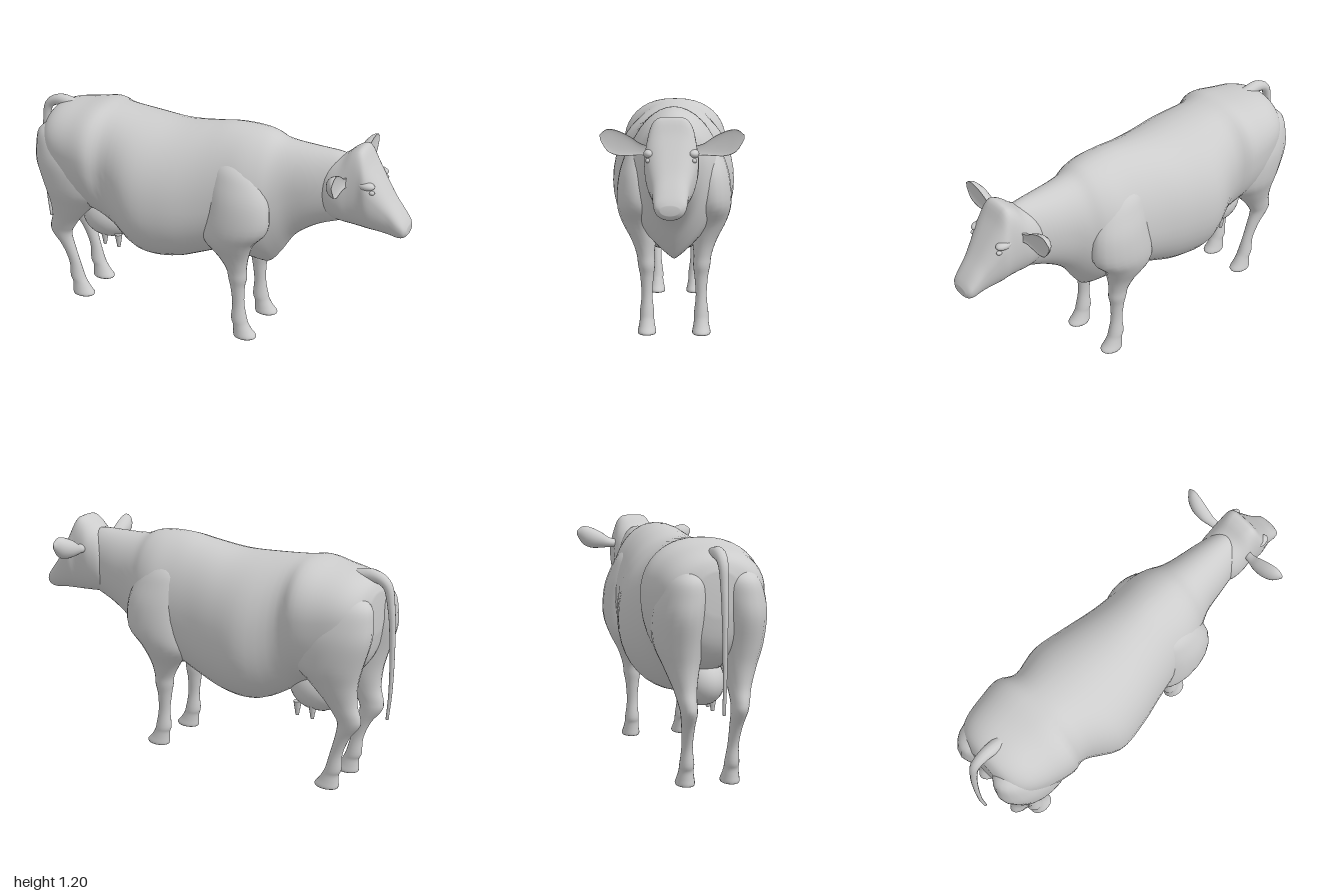
import * as THREE from 'three';

// Catmull-Rom interpolation of rows of section parameters
function refine(rows, steps = 4) {
  const out = [];
  const at = i => rows[Math.min(Math.max(i, 0), rows.length - 1)];
  for (let i = 0; i < rows.length - 1; i++) {
    for (let k = 0; k < steps; k++) {
      const t = k / steps;
      out.push(rows[i].map((b, j) => {
        const a = at(i - 1)[j], c = at(i + 1)[j], d = at(i + 2)[j];
        return b + 0.5 * t * (c - a + t * (2 * a - 5 * b + 4 * c - d + t * (3 * (b - c) + d - a)));
      }));
    }
  }
  out.push(rows[rows.length - 1]);
  return out;
}

// Closed skin over rings of points, always wound outward
function loft(rings) {
  const n = rings[0].length, pts = rings.flat(), idx = [];
  for (let i = 0; i < rings.length - 1; i++) {
    for (let j = 0; j < n; j++) {
      const a = i * n + j, b = i * n + (j + 1) % n;
      idx.push(a, b, a + n, b, b + n, a + n);
    }
  }
  const cap = (start, flip) => {
    const centre = new THREE.Vector3();
    for (let j = 0; j < n; j++) centre.addScaledVector(pts[start + j], 1 / n);
    const c = pts.push(centre) - 1;
    for (let j = 0; j < n; j++) {
      const a = start + j, b = start + (j + 1) % n;
      idx.push(...(flip ? [c, b, a] : [c, a, b]));
    }
  };
  cap(0, true);
  cap((rings.length - 1) * n, false);
  let volume = 0;
  const cross = new THREE.Vector3();
  for (let i = 0; i < idx.length; i += 3) {
    volume += pts[idx[i]].dot(cross.crossVectors(pts[idx[i + 1]], pts[idx[i + 2]]));
  }
  if (volume < 0) idx.reverse();
  const g = new THREE.BufferGeometry().setFromPoints(pts);
  g.setIndex(idx);
  g.computeVertexNormals();
  return g;
}

const ring = (n, fn) => Array.from({ length: n }, (_, i) => fn(i / n * Math.PI * 2));
const power = (v, e) => Math.sign(v) * Math.abs(v) ** e;
// Slight turn of the forequarters and head
const bend = s => -0.025 * THREE.MathUtils.smoothstep(s, -0.35, 0.45);

// Rows: along, top, bottom, half width, height of widest point, upper and lower roundness
function trunk(rows) {
  return loft(refine(rows).map(([s, top, bottom, hw, mid, eu, el]) => ring(40, a => {
    const c = Math.cos(a), n = Math.sin(a), e = n > 0 ? eu : el;
    return new THREE.Vector3(
      s, mid + (n > 0 ? top - mid : mid - bottom) * power(n, 0.95), bend(s) + hw * power(c, e));
  })));
}

// Rows: height, along, sideways, half length, half width
function limb(rows, side) {
  return loft(refine(rows).map(([y, s, w, hs, hw]) => ring(20, a =>
    new THREE.Vector3(s + hs * Math.cos(a), y, bend(s) + side * (w + hw * Math.sin(a))))));
}

export function createModel() {
  const model = new THREE.Group();
  model.name = 'cow';
  const hide = new THREE.MeshStandardMaterial({ color: 0xcccccc });
  hide.name = 'grey hide';
  const add = (name, geometry) => {
    const mesh = new THREE.Mesh(geometry, hide);
    mesh.name = name;
    model.add(mesh);
    return mesh;
  };
  const blob = (name, pos, scale) => {
    const m = add(name, new THREE.SphereGeometry(1, 24, 16));
    m.position.set(...pos);
    m.scale.set(...scale);
    return m;
  };

  // Barrel, rump, brisket and neck
  add('body', trunk([
    [-1.00, 1.06, 0.86, 0.09, 0.98, 1, 1],
    [-0.97, 1.12, 0.72, 0.19, 0.97, 1, 1],
    [-0.90, 1.155, 0.62, 0.25, 0.96, 0.92, 1],
    [-0.78, 1.175, 0.56, 0.285, 0.94, 0.87, 0.95],
    [-0.66, 1.195, 0.54, 0.302, 0.93, 0.85, 0.95],
    [-0.56, 1.185, 0.47, 0.275, 0.86, 0.9, 1],
    [-0.38, 1.168, 0.372, 0.343, 0.76, 1, 1],
    [-0.20, 1.16, 0.37, 0.322, 0.75, 1, 1],
    [-0.03, 1.18, 0.43, 0.283, 0.76, 1.02, 1],
    [0.10, 1.20, 0.47, 0.262, 0.79, 1.05, 1.15],
    [0.22, 1.20, 0.425, 0.255, 0.82, 1.05, 1.6],
    [0.31, 1.188, 0.42, 0.225, 0.85, 1.05, 1.75],
    [0.38, 1.16, 0.50, 0.185, 0.87, 1, 1.5],
    [0.46, 1.15, 0.62, 0.152, 0.92, 1, 1.1],
    [0.58, 1.145, 0.71, 0.13, 0.94, 1, 1],
    [0.70, 1.14, 0.76, 0.105, 0.95, 1, 1],
    [0.80, 1.11, 0.80, 0.08, 0.95, 1, 1],
  ]));

  // Head from jaw hinge to muzzle
  add('head', trunk([
    [0.61, 1.05, 0.86, 0.09, 0.95, 1, 1],
    [0.65, 1.10, 0.79, 0.122, 0.95, 0.9, 0.9],
    [0.72, 1.14, 0.772, 0.13, 0.96, 0.8, 0.85],
    [0.775, 1.185, 0.765, 0.124, 0.98, 0.55, 0.85],
    [0.825, 1.195, 0.76, 0.122, 0.99, 0.48, 0.85],
    [0.87, 1.115, 0.757, 0.128, 0.98, 0.65, 0.85],
    [0.93, 1.02, 0.752, 0.106, 0.92, 0.72, 0.85],
    [0.98, 0.945, 0.745, 0.088, 0.87, 0.75, 0.85],
    [1.03, 0.88, 0.738, 0.08, 0.82, 0.75, 0.85],
    [1.06, 0.838, 0.747, 0.07, 0.80, 0.8, 0.85],
    [1.075, 0.81, 0.765, 0.045, 0.79, 1, 1],
  ]));

  const hindRows = [
    [1.07, -0.91, 0.125, 0.05, 0.04], [1.02, -0.895, 0.13, 0.125, 0.09],
    [0.94, -0.86, 0.138, 0.175, 0.118], [0.84, -0.815, 0.148, 0.22, 0.128],
    [0.70, -0.80, 0.148, 0.195, 0.118], [0.60, -0.835, 0.142, 0.137, 0.088],
    [0.50, -0.88, 0.135, 0.09, 0.058], [0.43, -0.915, 0.13, 0.075, 0.045],
    [0.38, -0.925, 0.125, 0.062, 0.04], [0.30, -0.89, 0.12, 0.04, 0.032],
    [0.20, -0.857, 0.116, 0.034, 0.027], [0.11, -0.843, 0.114, 0.044, 0.036],
    [0.075, -0.828, 0.114, 0.045, 0.036], [0.04, -0.817, 0.114, 0.055, 0.042],
    [0.012, -0.807, 0.114, 0.067, 0.048], [0, -0.807, 0.114, 0.064, 0.046],
  ];
  const foreRows = [
    [1.1, 0.15, 0.10, 0.05, 0.04], [1.03, 0.16, 0.145, 0.11, 0.075],
    [0.95, 0.185, 0.17, 0.15, 0.09], [0.84, 0.205, 0.187, 0.175, 0.106],
    [0.70, 0.195, 0.195, 0.183, 0.108], [0.60, 0.155, 0.185, 0.143, 0.096],
    [0.50, 0.17, 0.162, 0.088, 0.067], [0.42, 0.185, 0.152, 0.058, 0.048],
    [0.36, 0.19, 0.147, 0.052, 0.045], [0.30, 0.19, 0.145, 0.04, 0.036],
    [0.20, 0.195, 0.145, 0.034, 0.029], [0.11, 0.20, 0.145, 0.045, 0.038],
    [0.075, 0.21, 0.145, 0.045, 0.038], [0.04, 0.222, 0.145, 0.054, 0.043],
    [0.012, 0.234, 0.145, 0.066, 0.049], [0, 0.234, 0.145, 0.063, 0.047],
  ];
  // Ear rows: sideways, height, along, half height, depth of cup
  const earRows = [
    [0.09, 1.03, 0.775, 0.024, 0.032], [0.15, 1.04, 0.768, 0.028, 0.038],
    [0.20, 1.055, 0.768, 0.046, 0.052], [0.26, 1.07, 0.772, 0.06, 0.056],
    [0.31, 1.085, 0.776, 0.052, 0.042], [0.345, 1.10, 0.775, 0.012, 0.008],
  ];
  const headShift = bend(1);

  // Paired parts
  for (const side of [1, -1]) {
    const label = side > 0 ? 'right' : 'left';
    add(label + 'HindLeg', limb(hindRows, side));
    add(label + 'ForeLeg', limb(foreRows, side));
    add(label + 'Ear', loft(refine(earRows).map(([w, y, s, hy, d]) => ring(20, a => {
      const n = Math.sin(a);
      return new THREE.Vector3(s - d * (n > 0 ? 0.15 * n : -n), y + hy * Math.cos(a), headShift + side * w);
    }))));
    blob(label + 'Eye', [0.9, 1.0, headShift + side * 0.109], [0.016, 0.011, 0.012]);
    blob(label + 'Brow', [0.868, 1.03, headShift + side * 0.104], [0.045, 0.022, 0.028]);
    // Teats
    for (const s of [-0.68, -0.59]) {
      const teat = add(label + 'Teat', new THREE.CylinderGeometry(0.022, 0.009, 0.08, 12));
      teat.position.set(s, 0.37, side * 0.06);
    }
  }

  blob('udder', [-0.68, 0.49, 0], [0.16, 0.125, 0.115]);

  // Tail arching from the rump and hanging behind
  const tailCurve = new THREE.CatmullRomCurve3([
    [-0.84, 1.115], [-0.96, 1.145], [-1.035, 1.11], [-1.065, 1.0],
    [-1.082, 0.8], [-1.085, 0.55], [-1.075, 0.4],
  ].map(([s, y]) => new THREE.Vector3(s, y, 0.005)));
  add('tail', loft(Array.from({ length: 33 }, (_, i) => {
    const p = tailCurve.getPoint(i / 32), t = tailCurve.getTangent(i / 32);
    const r = 0.008 + 0.032 * (1 - i / 32) ** 1.5;
    return ring(12, a => new THREE.Vector3(
      p.x - t.y * r * Math.cos(a), p.y + t.x * r * Math.cos(a), p.z + r * Math.sin(a)));
  })));

  // The animal stands diagonally
  model.rotation.y = -0.43;
  const root = new THREE.Group();
  root.name = 'standingCow';
  root.add(model);
  return root;
}
